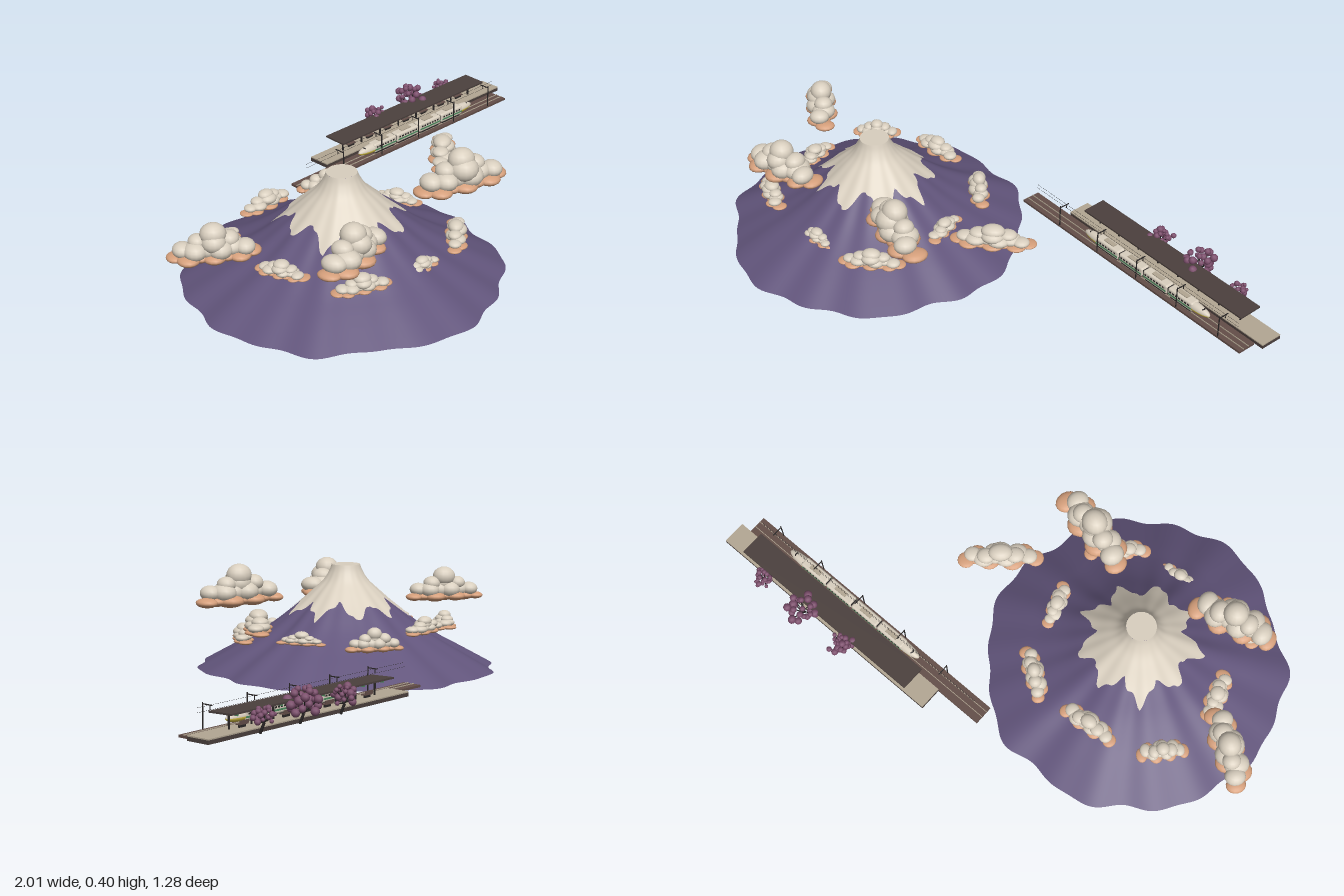
import * as THREE from 'three';
import { RoundedBoxGeometry } from 'three/addons/geometries/RoundedBoxGeometry.js';

const mat = (name, color, double) => {
  const m = new THREE.MeshStandardMaterial({ color });
  m.name = name;
  if (double) m.side = THREE.DoubleSide;
  return m;
};

export function createModel() {
  const model = new THREE.Group();
  const purple = mat('slopePurple', 0x62557c, true);
  const cream = mat('snowCream', 0xd9cfbf);
  const peach = mat('cloudPeach', 0xd59f7b);
  const brown = mat('darkBrown', 0x4b403d);
  const trackBrown = mat('trackBrown', 0x634e48);
  const concrete = mat('concrete', 0xb3a793);
  const green = mat('green', 0x4c8a5e);
  const yellow = mat('yellow', 0xd9c345);
  const blossom = mat('blossom', 0x7c4e6c);
  const black = mat('blackMetal', 0x2a2727);

  const add = (parent, name, geo, material, x = 0, y = 0, z = 0) => {
    const m = new THREE.Mesh(geo, material);
    m.name = name;
    m.position.set(x, y, z);
    parent.add(m);
    return m;
  };
  const group = (name) => {
    const g = new THREE.Group();
    g.name = name;
    model.add(g);
    return g;
  };
  const box = (parent, name, material, x0, x1, y0, y1, z0, z1) =>
    add(parent, name, new THREE.BoxGeometry(x1 - x0, y1 - y0, z1 - z0), material,
      (x0 + x1) / 2, (y0 + y1) / 2, (z0 + z1) / 2);
  let seed = 7;
  const rand = () => (seed = (seed * 16807) % 2147483647) / 2147483647;

  // Mountain: a concave profile swept around with radial folds, open underneath
  const mountain = group('mountain');
  mountain.position.set(-0.41, 0, 0.075);
  const profile = new THREE.SplineCurve([
    [0.05, 0.376], [0.06, 0.35], [0.082, 0.316], [0.12, 0.28], [0.163, 0.241],
    [0.205, 0.207], [0.27, 0.156], [0.35, 0.105], [0.42, 0.067], [0.54, 0],
  ].map(p => new THREE.Vector2(...p)));
  const rim = [101, 97, 103, 100, 101, 104, 100, 95, 102, 99, 102, 100, 103, 100, 104, 99, 104, 99, 98, 102];
  const SEG = 240;
  const fold = (i) => {
    const f = (i / SEG) * rim.length, a = Math.floor(f) % rim.length;
    const s = (1 - Math.cos((f % 1) * Math.PI)) / 2;
    return THREE.MathUtils.lerp(rim[a], rim[(a + 1) % rim.length], s) / 101 - 1;
  };
  const snowLine = (i) => {
    const a = (i / SEG) * Math.PI * 2;
    const tooth = Math.abs(((a / Math.PI) * 4.5 + 0.25) % 1 * 2 - 1);
    return 0.42 + 0.17 * tooth + 0.018 * Math.sin(a * 24) + 0.015 * Math.sin(a * 5 + 1);
  };
  const slope = (end, rows, lift) => {
    const pos = [], index = [];
    for (let j = 0; j <= rows; j++) for (let i = 0; i < SEG; i++) {
      const t = end(i) * j / rows;
      const p = profile.getPoint(t), a = (i / SEG) * Math.PI * 2;
      const r = p.x * (1 + fold(i) * Math.min(1, t * 1.6) + 0.012 * Math.sin(a * 18) * Math.min(t * 2, 1)) + lift;
      pos.push(r * Math.cos(a), p.y + lift, r * Math.sin(a));
      if (j === rows) continue;
      const A = j * SEG + i, B = j * SEG + (i + 1) % SEG;
      index.push(A, B, A + SEG, B, B + SEG, A + SEG);
    }
    const g = new THREE.BufferGeometry();
    g.setAttribute('position', new THREE.Float32BufferAttribute(pos, 3));
    g.setIndex(index);
    g.computeVertexNormals();
    return g;
  };
  add(mountain, 'slopes', slope(() => 1, 27, 0), purple);
  add(mountain, 'snowCap', slope(snowLine, 18, 0.002), cream);
  const ceiling = add(mountain, 'summitUnderside', new THREE.CircleGeometry(0.05, 40), purple, 0, 0.376, 0);
  ceiling.rotation.x = -Math.PI / 2;
  const summit = add(mountain, 'summit', new THREE.CircleGeometry(0.052, 40), cream, 0, 0.378, 0);
  summit.rotation.x = -Math.PI / 2;

  // Clouds: flat peach puffs below, large cream puffs above, running between two points
  const puffGeo = new THREE.SphereGeometry(1, 16, 10);
  const cloud = (x1, z1, x2, z2, y0, y1, W) => {
    const g = group('cloud');
    const L = Math.hypot(x2 - x1, z2 - z1), H = y1 - y0;
    g.position.set((x1 + x2) / 2, y0, (z1 + z2) / 2);
    g.rotation.y = -Math.atan2(z2 - z1, x2 - x1);
    const row = (name, m, n, span, y, rx, ry, rz, side) => {
      for (let i = 0; i < n; i++) {
        const u = n > 1 ? (i / (n - 1)) * 2 - 1 : 0;
        const k = (1 - 0.25 * u * u) * (0.92 + 0.16 * rand());
        const p = add(g, name, puffGeo, m, u * span * L, y * H, (i % 2 ? side : -side) * W);
        p.scale.set(rx * L * k, ry * H * k, rz * W * k);
      }
    };
    row('cloudBase', peach, 7, 0.41, 0.14, 0.14, 0.15, 0.42, 0.09);
    row('cloudBody', cream, 6, 0.33, 0.34, 0.14, 0.25, 0.39, 0.07);
    row('cloudMiddle', cream, 3, 0.17, 0.53, 0.14, 0.27, 0.37, 0.07);
    row('cloudTop', cream, 1, 0, 0.72, 0.14, 0.28, 0.32, 0.02);
  };
  [
    [-1.01, -0.11, -0.76, 0.06, 0.2, 0.33, 0.12],
    [-0.77, 0.38, -0.46, 0.3, 0.22, 0.365, 0.14],
    [-0.21, 0.23, 0.13, 0.315, 0.245, 0.398, 0.14],
    [0.05, 0.1, 0.27, -0.1, 0.2, 0.28, 0.1],
    [-0.77, -0.09, -0.65, -0.22, 0.13, 0.195, 0.08],
    [-0.57, -0.24, -0.35, -0.26, 0.145, 0.21, 0.08],
    [-0.28, -0.29, -0.11, -0.17, 0.11, 0.2, 0.08],
    [-0.76, 0.03, -0.7, 0.21, 0.135, 0.19, 0.08],
    [-0.12, -0.07, -0.06, 0.1, 0.12, 0.17, 0.07],
    [-0.43, 0.39, -0.27, 0.38, 0.105, 0.152, 0.06],
    [-0.72, 0.35, -0.53, 0.42, 0.142, 0.205, 0.08],
    [-0.2, 0.4, -0.03, 0.24, 0.1, 0.168, 0.08],
  ].forEach(c => cloud(...c));

  // Track bed with rails
  const railway = group('railway');
  box(railway, 'trackBed', trackBrown, -0.14, 0.963, 0.024, 0.032, -0.475, -0.403);
  for (const z of [-0.447, -0.423]) box(railway, 'rail', concrete, -0.14, 0.963, 0.032, 0.035, z - 0.001, z + 0.001);

  // Overhead line poles and wires
  for (let x = 0.06; x < 0.95; x += 0.2) {
    box(railway, 'linePole', black, x - 0.0015, x + 0.0015, 0.03, 0.116, -0.406, -0.403);
    box(railway, 'lineArm', black, x - 0.0015, x + 0.0015, 0.109, 0.112, -0.445, -0.403);
    box(railway, 'insulator', black, x - 0.001, x + 0.001, 0.095, 0.112, -0.436, -0.434);
  }
  for (const y of [0.095, 0.11]) box(railway, 'overheadWire', black, -0.1, 0.92, y, y + 0.0006, -0.4353, -0.4347);

  // Train: rounded cars with window plates and green stripes
  const train = group('train');
  const zc = -0.435;
  for (let i = 0; i < 4; i++) {
    const x0 = 0.235 + i * 0.123, x1 = x0 + 0.119;
    add(train, 'carBody', new RoundedBoxGeometry(0.119, 0.036, 0.038, 3, 0.008), cream, (x0 + x1) / 2, 0.058, zc);
    box(train, 'underframe', black, x0 + 0.01, x1 - 0.01, 0.035, 0.042, zc - 0.014, zc + 0.014);
    box(train, 'roofUnit', concrete, x0 + 0.035, x1 - 0.035, 0.075, 0.079, zc - 0.009, zc + 0.009);
    if (i) box(train, 'gangway', black, x0 - 0.006, x0 + 0.002, 0.044, 0.07, zc - 0.013, zc + 0.013);
    for (const s of [-1, 1]) {
      const z = zc + s * 0.0192;
      box(train, 'stripe', green, x0 + 0.004, x1 - 0.004, 0.05, 0.056, z - 0.0005, z + 0.0005);
      for (let k = 0; k < 7; k++)
        box(train, 'window', black, x0 + 0.01 + k * 0.0145, x0 + 0.018 + k * 0.0145, 0.06, 0.066, z - 0.0005, z + 0.0005);
    }
  }
  // Tapered noses: cream above, yellow below
  const noseTop = new THREE.SphereGeometry(1, 24, 8, 0, Math.PI * 2, 0, Math.PI / 2);
  const noseBottom = new THREE.SphereGeometry(1, 24, 8, 0, Math.PI * 2, Math.PI / 2, Math.PI / 2);
  for (const [x, s] of [[0.237, -1], [0.721, 1]]) {
    add(train, 'noseTop', noseTop, cream, x, 0.056, zc).scale.set(0.07, 0.0185, 0.0188);
    add(train, 'noseBottom', noseBottom, yellow, x, 0.056, zc).scale.set(0.07, 0.016, 0.0188);
    add(train, 'windscreen', puffGeo, black, x + s * 0.036, 0.065, zc).scale.set(0.014, 0.0065, 0.011);
  }

  // Platform with benches and canopy
  const station = group('station');
  box(station, 'platformBase', brown, 0.04, 1, 0.03, 0.043, -0.56, -0.475);
  box(station, 'platformTop', concrete, 0.04, 1, 0.043, 0.047, -0.56, -0.474);
  for (let x = 0.16; x < 0.9; x += 0.1) {
    box(station, 'canopyPost', black, x - 0.0025, x + 0.0025, 0.047, 0.1, -0.515, -0.51);
    box(station, 'canopyBeam', green, x - 0.002, x + 0.002, 0.092, 0.098, -0.55, -0.475);
    if (x > 0.85) continue;
    box(station, 'benchSeat', trackBrown, x + 0.03, x + 0.07, 0.056, 0.059, -0.528, -0.512);
    box(station, 'benchBack', trackBrown, x + 0.03, x + 0.07, 0.059, 0.07, -0.53, -0.527);
    box(station, 'benchLegs', black, x + 0.035, x + 0.065, 0.047, 0.056, -0.523, -0.517);
  }
  box(station, 'canopyRoof', brown, 0.12, 0.9, 0.099, 0.105, -0.56, -0.468).rotation.x = 0.03;
  for (const x of [0.31, 0.61]) box(station, 'hangingSign', green, x - 0.015, x + 0.015, 0.082, 0.09, -0.501, -0.498);

  // Blossom trees behind the platform: forked branches ending in uneven clusters
  const clusterGeo = new THREE.IcosahedronGeometry(1, 1);
  const tree = (x, z, top, R) => {
    const t = group('blossomTree');
    const fork = new THREE.Vector3(x, 0.065, z);
    const limb = (a, b, r) => add(t, 'branch', new THREE.TubeGeometry(new THREE.LineCurve3(a, b), 1, r, 6), black);
    limb(new THREE.Vector3(x + 0.005, 0.03, z + 0.012), fork, 0.0045);
    for (let i = 0; i < 26; i++) {
      const a = i * 2.4, h = i / 25;
      const q = Math.sqrt(1 - (h * 1.5 - 0.6) ** 2) * (0.35 + 0.6 * rand()) * R;
      const p = new THREE.Vector3(x + Math.cos(a) * q, THREE.MathUtils.lerp(0.07, top - 0.01, h), z + Math.sin(a) * q);
      if (i % 3 === 0) limb(fork, p, 0.002);
      add(t, 'blossomCluster', clusterGeo, blossom, p.x, p.y, p.z).scale.setScalar(R * (0.15 + 0.12 * rand()));
    }
  };
  tree(0.4, -0.582, 0.13, 0.05);
  tree(0.595, -0.58, 0.152, 0.06);
  tree(0.78, -0.582, 0.118, 0.042);

  return model;
}
